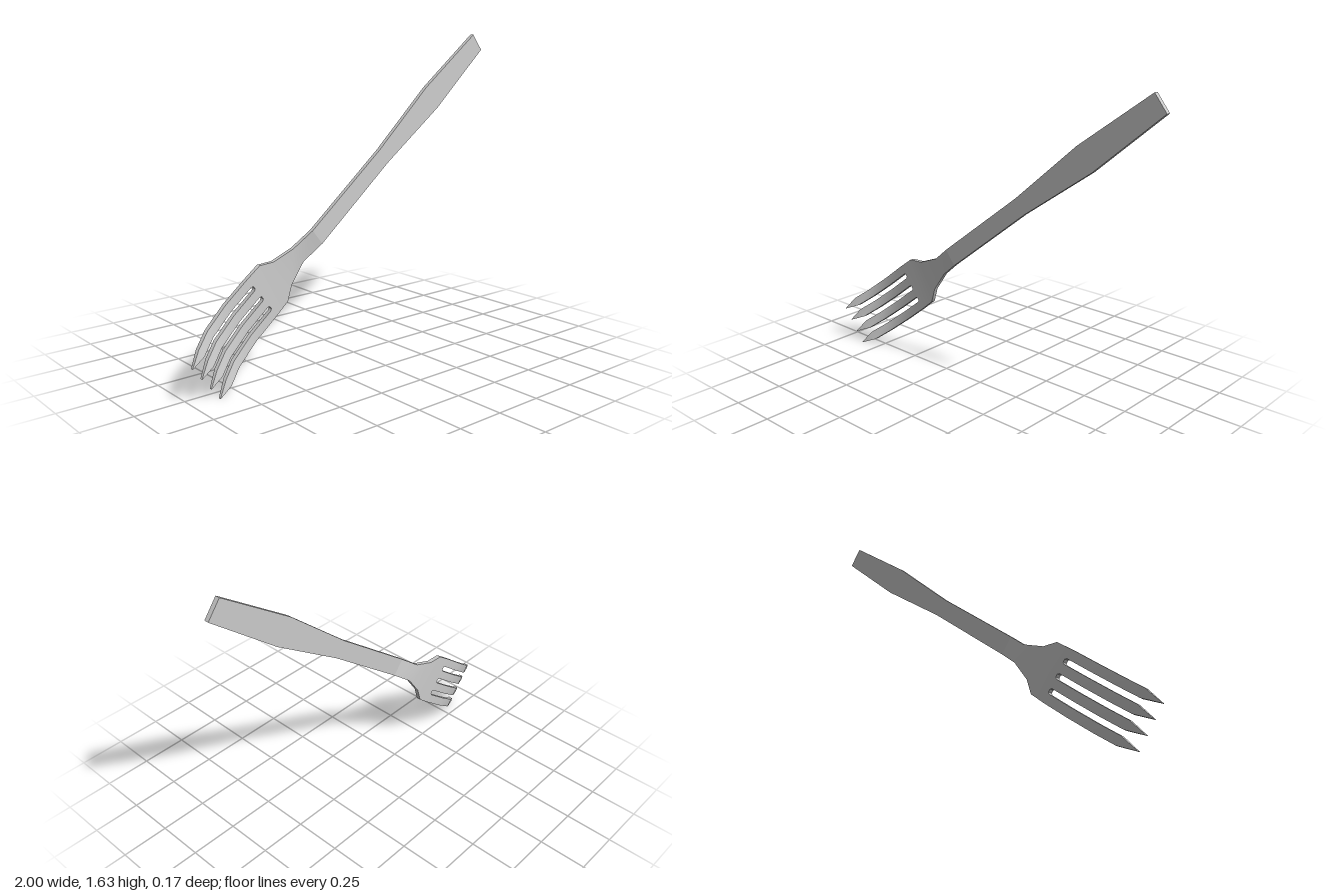
import * as THREE from 'three';
import { toCreasedNormals } from 'three/addons/utils/BufferGeometryUtils.js';

// Side profile of the fork: [distance from the tine tips, depth of mid-surface, thickness]
const PROFILE = [
  [0, 0.075, 0.014], [0.083, 0.04, 0.023], [0.18, -0.008, 0.024], [0.33, -0.037, 0.024],
  [0.58, -0.045, 0.023], [0.772, -0.045, 0.023], [0.9, -0.022, 0.023], [2.413, -0.077, 0.023],
];

function profileAt(s) {
  let i = 0;
  while (i < PROFILE.length - 2 && s > PROFILE[i + 1][0]) i++;
  const a = PROFILE[i], b = PROFILE[i + 1];
  const t = (s - a[0]) / (b[0] - a[0]);
  return [THREE.MathUtils.lerp(a[1], b[1], t), THREE.MathUtils.lerp(a[2], b[2], t)];
}

// Bent plate from rows of [s, low edge, high edge], following the side profile
function plate(name, rows, material) {
  const pos = [];
  const rings = rows.map(([s, lo, hi]) => {
    const [z, t] = profileAt(s);
    return [[s, lo, z + t / 2], [s, hi, z + t / 2], [s, hi, z - t / 2], [s, lo, z - t / 2]];
  });
  const quad = (a, b, c, d) => pos.push(...a, ...b, ...c, ...a, ...c, ...d);
  for (let i = 0; i < rings.length - 1; i++) {
    const p = rings[i], q = rings[i + 1];
    for (let k = 0; k < 4; k++) {
      const n = (k + 1) % 4;
      quad(p[k], q[k], q[n], p[n]);
    }
  }
  const first = rings[0], last = rings[rings.length - 1];
  quad(first[0], first[1], first[2], first[3]);
  quad(last[3], last[2], last[1], last[0]);
  const geometry = new THREE.BufferGeometry();
  geometry.setAttribute('position', new THREE.Float32BufferAttribute(pos, 3));
  const mesh = new THREE.Mesh(toCreasedNormals(geometry, 0.65), material);
  mesh.name = name;
  return mesh;
}

export function createModel() {
  const material = new THREE.MeshStandardMaterial({ color: 0xcccccc });
  const fork = new THREE.Group();
  fork.name = 'fork';

  // Four pointed tines; the slot ends are slightly chamfered
  const half = 0.0235, rootS = 0.492;
  for (let i = 0; i < 4; i++) {
    const c = (i - 1.5) * 0.0745;
    const rows = [[0, c - 0.001, c + 0.001]];
    for (const s of [0.083, 0.18, 0.33, 0.482]) rows.push([s, c - half, c + half]);
    rows.push([rootS, c - half - (i > 0 ? 0.006 : 0), c + half + (i < 3 ? 0.006 : 0)]);
    fork.add(plate('tine' + (i + 1), rows, material));
  }

  // Head, narrowing through the shoulders to the neck
  const symmetric = ([s, w]) => [s, -w, w];
  fork.add(plate('head',
    [[rootS, 0.135], [0.582, 0.132], [0.649, 0.085], [0.772, 0.048], [0.9, 0.0475]].map(symmetric), material));

  // Handle, widening towards its end
  fork.add(plate('handle',
    [[0.9, 0.0475], [1.48, 0.046], [1.942, 0.0715], [2.413, 0.0535]].map(symmetric), material));

  // Lean the whole fork along its diagonal
  fork.rotation.z = THREE.MathUtils.degToRad(38.3);
  fork.position.set(-0.93, 0.088, 0);

  const model = new THREE.Group();
  model.name = 'forkModel';
  model.add(fork);
  return model;
}
